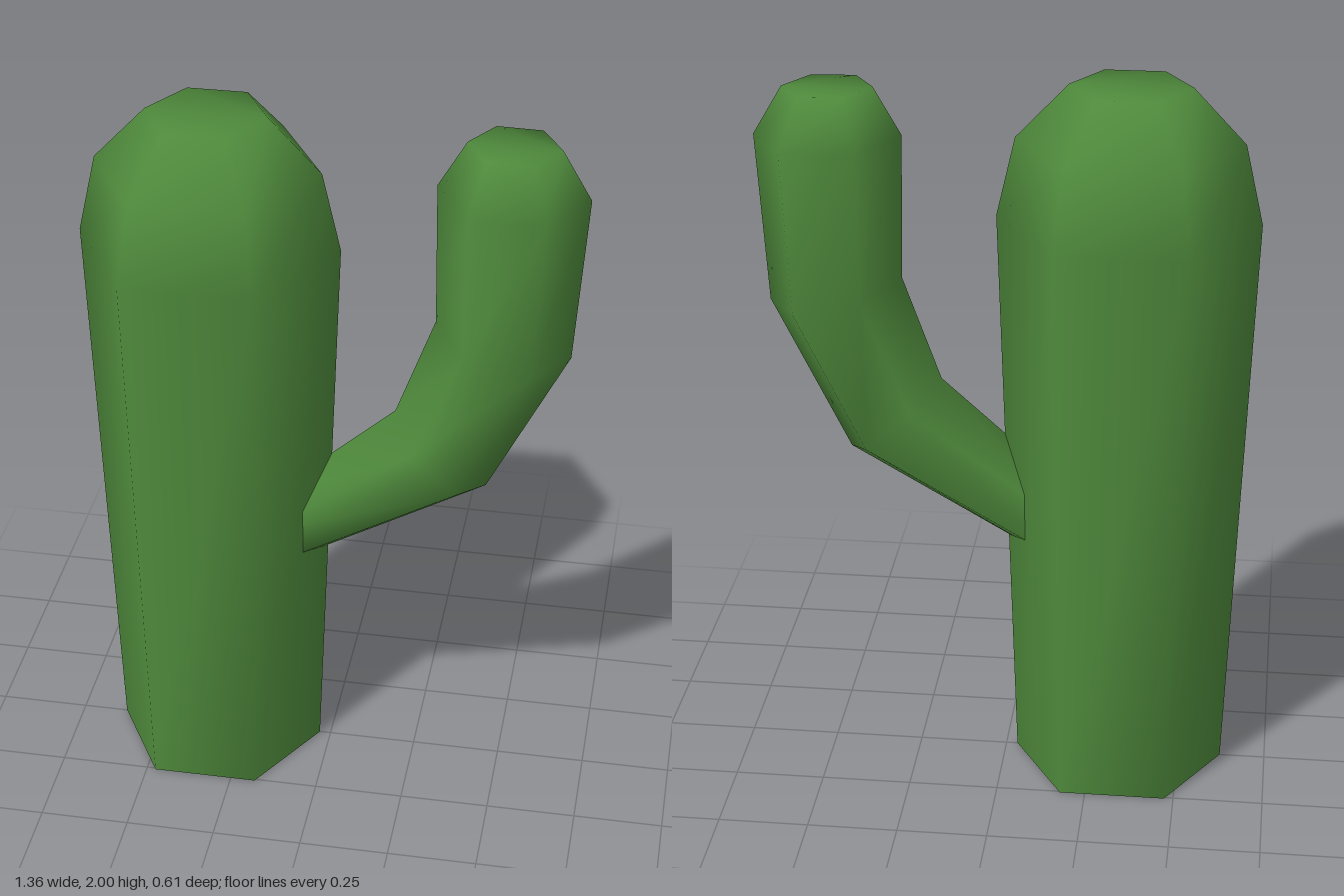
import * as THREE from 'three';

const SIDES = 6;

// Smooth six-sided limb. Each ring is [xLeft, yLeft, xRight, yRight]: its two
// opposite corners in the z = 0 plane. The base cap keeps a sharp edge.
function limb(name, rings, material) {
  const positions = [];
  const index = [];
  const addRing = ([xl, yl, xr, yr]) => {
    const ux = (xr - xl) / 2, uy = (yr - yl) / 2, radius = Math.hypot(ux, uy);
    for (let i = 0; i < SIDES; i++) {
      const a = (i / SIDES) * Math.PI * 2;
      positions.push(
        (xl + xr) / 2 + ux * Math.cos(a),
        (yl + yr) / 2 + uy * Math.cos(a),
        radius * Math.sin(a)
      );
    }
  };
  rings.forEach(addRing);
  addRing(rings[0]); // separate corners for the base cap

  // Side walls
  for (let r = 0; r < rings.length - 1; r++) {
    for (let i = 0; i < SIDES; i++) {
      const a = r * SIDES + i, b = r * SIDES + (i + 1) % SIDES;
      index.push(a, a + SIDES, b, b, a + SIDES, b + SIDES);
    }
  }
  // Rounded-in top and flat base
  const top = (rings.length - 1) * SIDES, base = rings.length * SIDES;
  for (let i = 1; i < SIDES - 1; i++) {
    index.push(top, top + i + 1, top + i);
    index.push(base, base + i, base + i + 1);
  }

  const geometry = new THREE.BufferGeometry();
  geometry.setAttribute('position', new THREE.Float32BufferAttribute(positions, 3));
  geometry.setIndex(index);
  geometry.computeVertexNormals();
  const mesh = new THREE.Mesh(geometry, material);
  mesh.name = name;
  return mesh;
}

export function createModel() {
  const green = new THREE.MeshStandardMaterial({ color: 0x4f8a3c });
  green.name = 'cactusGreen';

  const group = new THREE.Group();
  group.name = 'cactus';

  // Tapered trunk with a domed crown
  group.add(limb('trunk', [
    [-0.622, 0, -0.032, 0],
    [-0.682, 1.63, 0.028, 1.63],
    [-0.632, 1.85, -0.022, 1.85],
    [-0.49, 2, -0.164, 2],
  ], green));

  // Side arm growing out of the trunk and bending upward
  group.add(limb('arm', [
    [-0.2, 0.81, -0.1, 0.628],
    [0.18, 1.15, 0.435, 0.935],
    [0.285, 1.44, 0.65, 1.365],
    [0.28, 1.845, 0.68, 1.835],
    [0.355, 1.975, 0.6, 1.97],
  ], green));

  return group;
}
